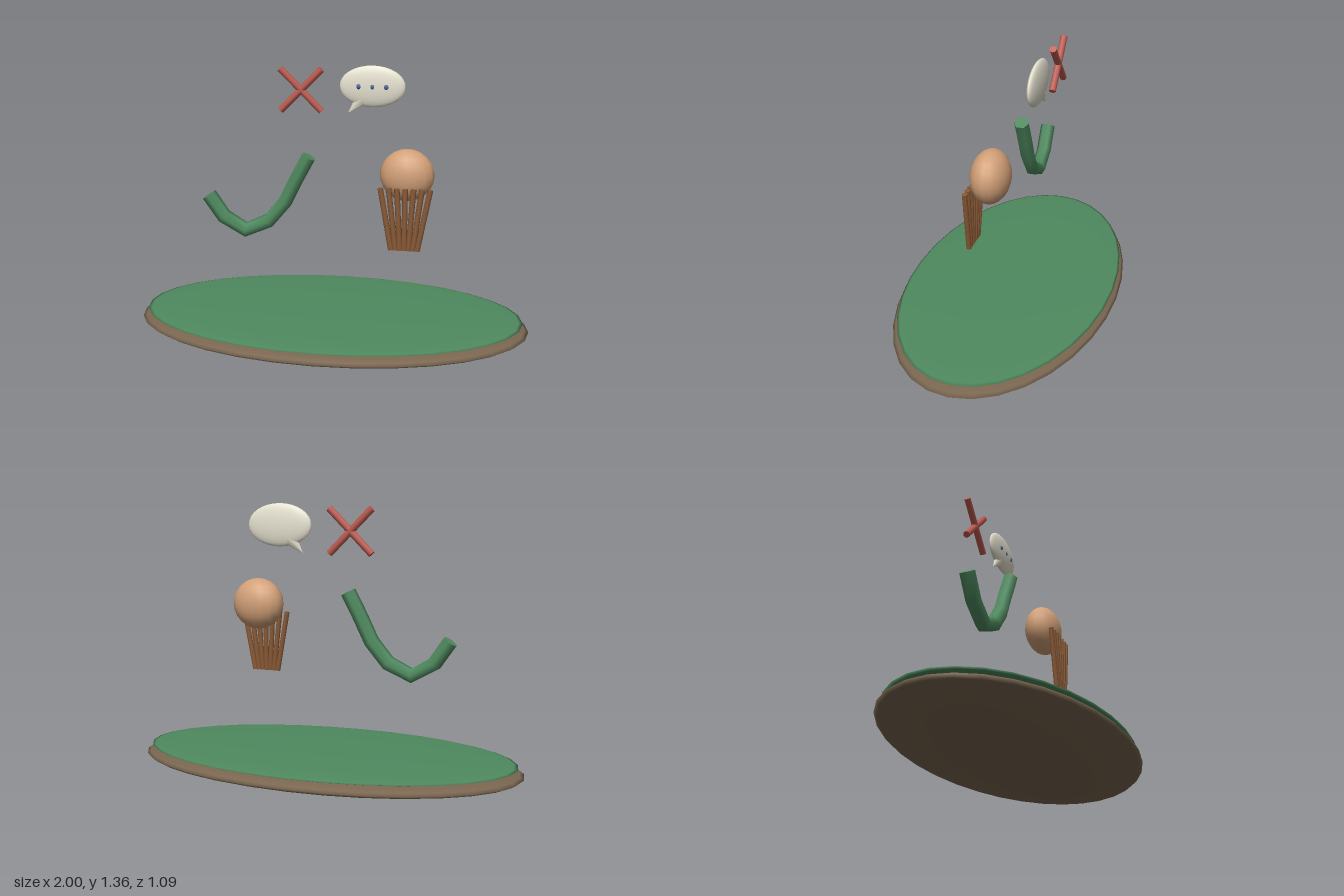
import * as THREE from 'three';

const mat = (color) => new THREE.MeshStandardMaterial({ color });
const green = mat(0x4f8a5f), soil = mat(0x7a6650), skin = mat(0xd2a078);
const wood = mat(0x8a5a36), red = mat(0xbc5a50), cream = mat(0xe6e2d0), blue = mat(0x4a6a9c);

export function createModel() {
  const model = new THREE.Group();

  const add = (name, geometry, material, x = 0, y = 0, z = 0, parent = model) => {
    const mesh = new THREE.Mesh(geometry, material);
    mesh.name = name;
    mesh.position.set(x, y, z);
    parent.add(mesh);
    return mesh;
  };
  const ellipsoid = (rx, ry, rz, w, h) => new THREE.SphereGeometry(1, w, h).scale(rx, ry, rz);
  const group = (name) => {
    const g = new THREE.Group();
    g.name = name;
    model.add(g);
    return g;
  };

  // Round a straight rod between two points
  const rod = (name, a, b, radius, material, parent) => {
    const dir = b.clone().sub(a);
    const mid = a.clone().add(b).multiplyScalar(0.5);
    const mesh = add(name, new THREE.CylinderGeometry(radius, radius, dir.length(), 8),
      material, mid.x, mid.y, mid.z, parent);
    mesh.quaternion.setFromUnitVectors(new THREE.Vector3(0, 1, 0), dir.normalize());
    return mesh;
  };

  // Oval island: earth below, grass on top
  add('earthBase', ellipsoid(1, 0.06, 0.545, 32, 16), soil, 0, 0.06, 0);
  add('grassTop', ellipsoid(0.97, 0.02, 0.525, 32, 16), green, 0, 0.104, 0);

  // Check mark: bent six-sided tube with closed ends
  const check = group('checkMark');
  const path = new THREE.CatmullRomCurve3([
    [-0.633, 0.703], [-0.553, 0.588], [-0.441, 0.526], [-0.324, 0.58],
    [-0.243, 0.674], [-0.171, 0.818], [-0.115, 0.922],
  ].map(([x, y]) => new THREE.Vector3(x, y, 0)));
  add('checkTube', new THREE.TubeGeometry(path, 6, 0.039, 6), green, 0, 0, 0, check);
  for (const [t, sign] of [[0, -1], [1, 1]]) {
    const p = path.getPointAt(t);
    const cap = add('checkEnd', new THREE.CircleGeometry(0.039, 6), green, p.x, p.y, p.z, check);
    const out = path.getTangentAt(t).multiplyScalar(sign);
    // Corners of the cap line up with the tube along z
    const side = new THREE.Vector3(0, 0, 1);
    cap.quaternion.setFromRotationMatrix(
      new THREE.Matrix4().makeBasis(side, out.clone().cross(side), out));
  }

  // Cross mark: two rods at right angles
  const cross = group('crossMark');
  for (const s of [-1, 1]) {
    rod('crossBar', new THREE.Vector3(-0.185 - 0.106 * s, 1.119, -0.166),
      new THREE.Vector3(-0.185 + 0.106 * s, 1.331, -0.166), 0.0175, red, cross);
  }

  // Speech bubble with tail and three dots
  const bubble = group('speechBubble');
  add('bubbleBody', ellipsoid(0.166, 0.104, 0.027, 24, 16), cream, 0.178, 1.252, -0.166, bubble);
  const tail = add('bubbleTail', new THREE.ConeGeometry(0.037, 0.1, 8), cream,
    0.09, 1.152, -0.166, bubble);
  tail.rotation.z = THREE.MathUtils.degToRad(137);
  tail.scale.z = 0.55;
  for (const i of [-1, 0, 1]) {
    add('bubbleDot', ellipsoid(0.012, 0.014, 0.012, 10, 8), blue,
      0.18 + i * 0.069, 1.253, -0.146, bubble);
  }

  // Round head
  add('head', ellipsoid(0.134, 0.13, 0.094, 16, 12), skin, 0.374, 0.848, 0);

  // Fan of upright slats in front of the head
  const slats = group('slatFan');
  for (let i = -3; i <= 3; i++) {
    rod('slat', new THREE.Vector3(0.374 + i * 0.0215, 0.49, 0.091),
      new THREE.Vector3(0.374 + i * 0.0405, 0.8, 0.086), 0.0135, wood, slats);
  }

  return model;
}
